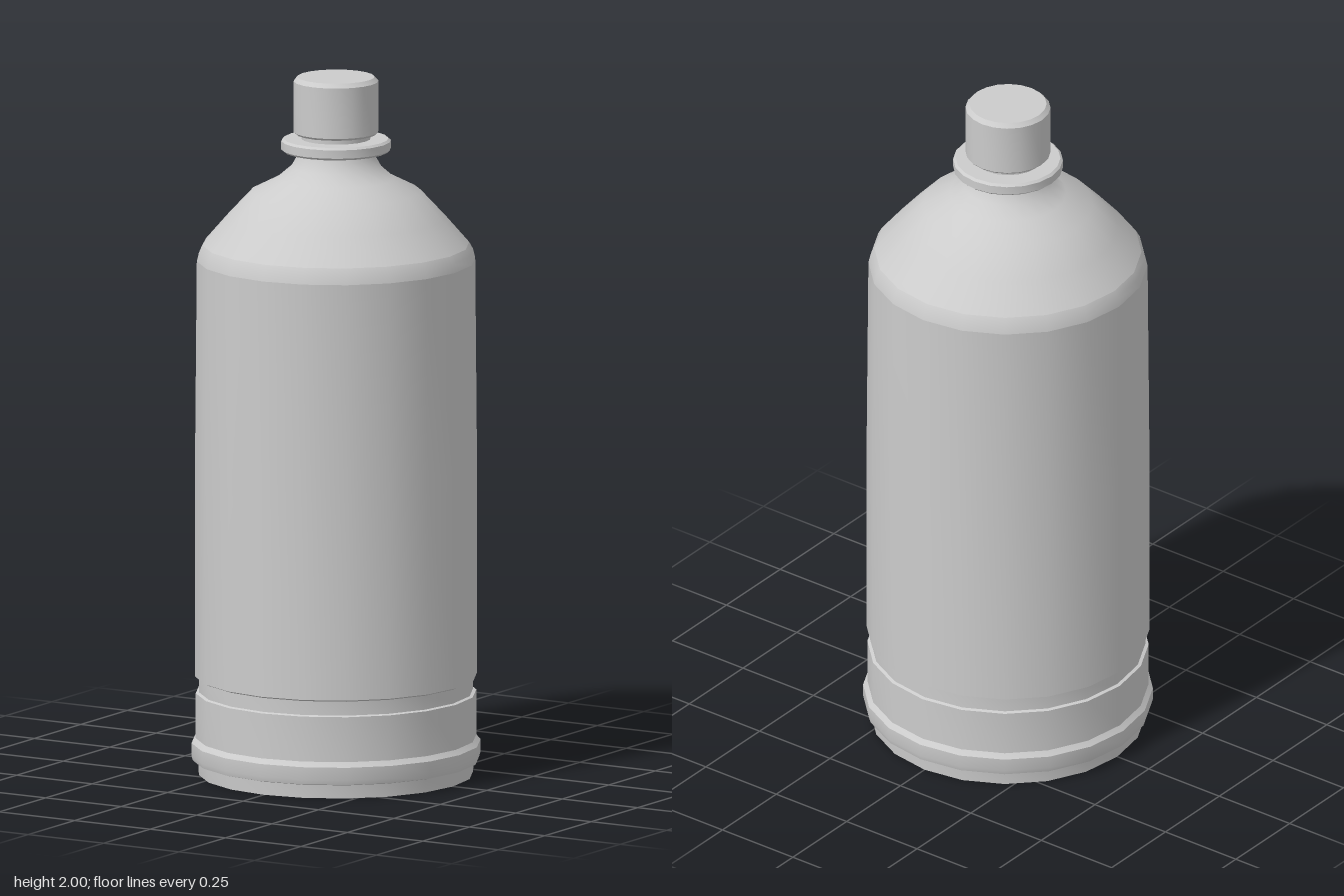
import * as THREE from 'three';
import { toCreasedNormals } from 'three/addons/utils/BufferGeometryUtils.js';

const SIDES = 20;
const material = new THREE.MeshStandardMaterial({ color: 0xcccccc, side: THREE.DoubleSide });

// Revolve a [radius, height] profile; crease = null keeps the profile fully smooth
function turned(name, profile, crease = 0.5) {
  const points = profile.map(([r, y]) => new THREE.Vector2(r, y));
  const lathe = new THREE.LatheGeometry(points, SIDES);
  const mesh = new THREE.Mesh(crease === null ? lathe : toCreasedNormals(lathe, crease), material);
  mesh.name = name;
  return mesh;
}

export function createModel() {
  const bottle = new THREE.Group();
  bottle.name = 'bottle';

  bottle.add(
    // Recessed underside, standing rim and the rounded bead above it
    turned('base', [
      [0, 0.055], [0.337, 0.055], [0.37, 0], [0.388, 0], [0.39, 0.038],
      [0.405, 0.042], [0.409, 0.056], [0.409, 0.092], [0.397, 0.106],
    ]),
    // Lower band and the groove beneath the main wall
    turned('lowerBand', [[0.397, 0.106], [0.397, 0.235], [0.388, 0.238], [0.388, 0.278], [0.399, 0.283]]),
    turned('wall', [[0.399, 0.283], [0.399, 0.9], [0.394, 1.475]]),
    turned('shoulderEdge', [[0.394, 1.475], [0.388, 1.5], [0.377, 1.52]], null),
    // Sloping shoulder sweeping into the neck
    turned('shoulder', [
      [0.377, 1.52], [0.31, 1.597], [0.24, 1.672], [0.165, 1.71],
      [0.128, 1.742], [0.112, 1.77], [0.106, 1.79],
    ], null),
    turned('collar', [
      [0.1, 1.787], [0.148, 1.787], [0.155, 1.793], [0.155, 1.817], [0.148, 1.823], [0.098, 1.823],
    ]),
    turned('neck', [[0.098, 1.78], [0.098, 1.85]]),
    turned('cap', [[0, 1.837], [0.114, 1.837], [0.12, 1.843], [0.12, 1.988], [0.109, 2], [0, 2]]),
  );
  return bottle;
}
